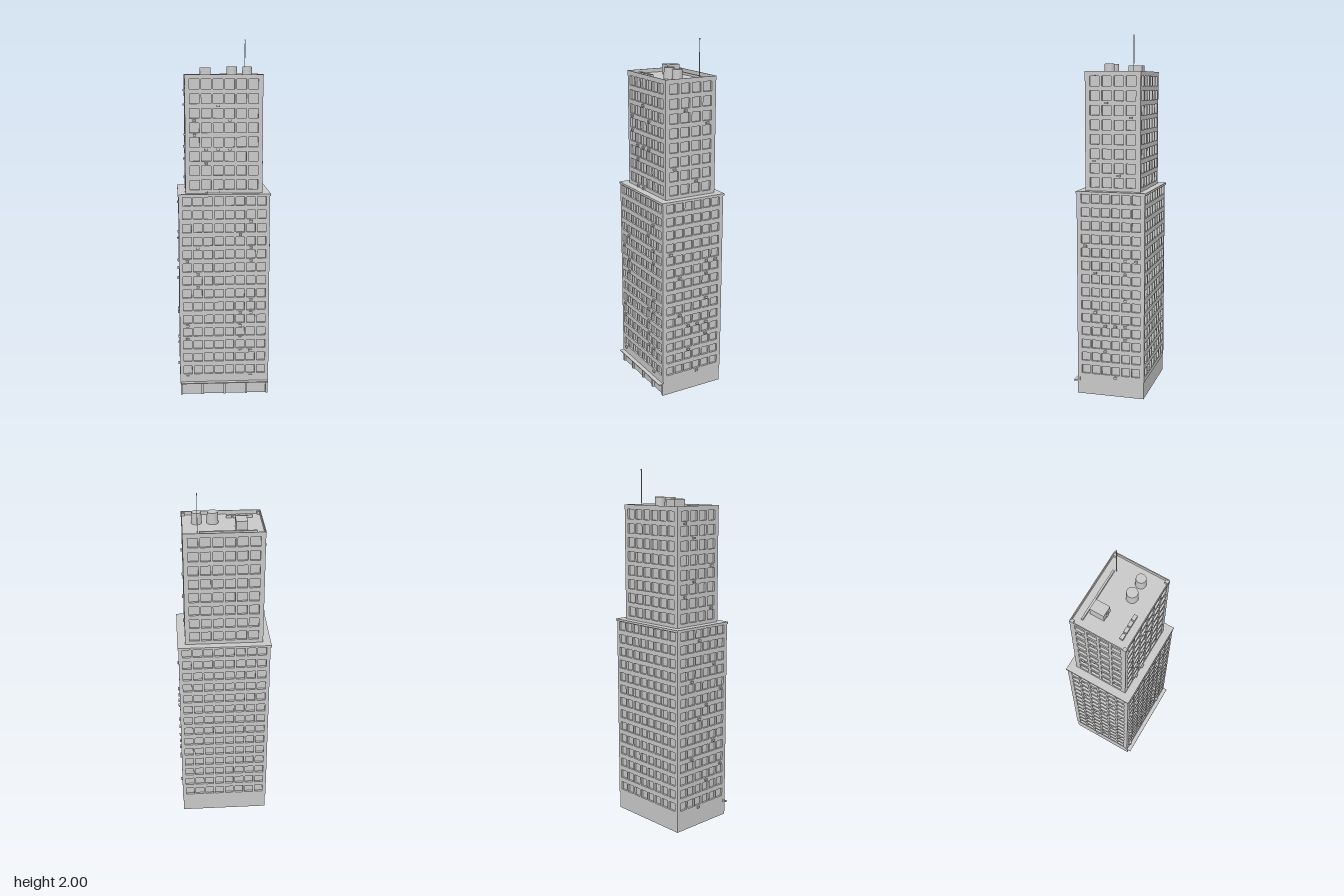
import * as THREE from 'three';

const concrete = new THREE.MeshStandardMaterial({ color: 0xc8c8c8 });
concrete.name = 'concrete grey';

const RECESS = 0.012;

function add(parent, name, geometry, x = 0, y = 0, z = 0) {
  const mesh = new THREE.Mesh(geometry, concrete);
  mesh.name = name;
  mesh.position.set(x, y, z);
  parent.add(mesh);
  return mesh;
}

// Box given by its minimum and maximum on each axis
function box(parent, name, x0, x1, y0, y1, z0, z1) {
  return add(parent, name, new THREE.BoxGeometry(x1 - x0, y1 - y0, z1 - z0),
    (x0 + x1) / 2, (y0 + y1) / 2, (z0 + z1) / 2);
}

function rectangle(Type, x0, x1, y0, y1) {
  const r = new Type();
  r.moveTo(x0, y0);
  r.lineTo(x1, y0);
  r.lineTo(x1, y1);
  r.lineTo(x0, y1);
  r.closePath();
  return r;
}

// Wall slab pierced by a grid of windows; outer face at local z = 0
function wallGeometry(width, y0, t, cols) {
  const shape = rectangle(THREE.Shape, -width / 2, width / 2, y0, t.y1);
  const h = t.window / 2;
  for (let r = 0; r < t.rows; r++) {
    for (let c = 0; c < cols.count; c++) {
      const x = (c - (cols.count - 1) / 2) * cols.step;
      const y = t.topRow - r * t.rowStep;
      shape.holes.push(rectangle(THREE.Path, x - h, x + h, y - h, y + h));
    }
  }
  const g = new THREE.ExtrudeGeometry(shape, { depth: RECESS, bevelEnabled: false });
  return g.translate(0, 0, -RECESS);
}

// Tower block: solid core, four window walls and air conditioners [column, row]
function tower(parent, name, t) {
  const group = new THREE.Group();
  group.name = name;
  parent.add(group);
  const zc = (t.z0 + t.z1) / 2, depth = t.z1 - t.z0;
  box(group, 'core', -t.x + RECESS, t.x - RECESS, t.y0, t.y1, t.z0 + RECESS, t.z1 - RECESS);
  const sides = [
    ['frontWall', 0, t.x * 2, t.frontY0, t.z1 - zc, t.frontCols, t.frontUnits],
    ['leftWall', Math.PI / 2, depth - 2 * RECESS, t.y0, t.x, t.sideCols, t.leftUnits],
    ['backWall', Math.PI, t.x * 2, t.y0, zc - t.z0, t.frontCols, []],
    ['rightWall', -Math.PI / 2, depth - 2 * RECESS, t.y0, t.x, t.sideCols, t.rightUnits],
  ];
  for (const [label, angle, width, y0, out, cols, units] of sides) {
    const side = new THREE.Group();
    side.name = label;
    side.position.z = zc;
    side.rotation.y = angle;
    group.add(side);
    add(side, label + 'Panel', wallGeometry(width, y0, t, cols), 0, 0, out);
    for (const [c, r] of units) {
      add(side, 'airConditioner', new THREE.BoxGeometry(0.018, 0.011, 0.014),
        (c - (cols.count - 1) / 2) * cols.step, t.topRow - (r + 0.5) * t.rowStep, out + 0.001);
    }
  }
}

export function createModel() {
  const model = new THREE.Group();
  model.name = 'officeTower';

  // Ground floor with shopfront pillars and canopy
  box(model, 'groundFloor', -0.249, 0.249, 0, 0.1, -0.199, 0.175);
  for (const x of [-0.243, -0.126, 0.001, 0.125, 0.243]) {
    box(model, 'pillar', x - 0.006, x + 0.006, 0, 0.072, 0.172, 0.186);
  }
  box(model, 'canopy', -0.25, 0.25, 0.071, 0.076, 0.17, 0.208);

  // Lower block
  tower(model, 'lowerTower', {
    x: 0.252, z0: -0.202, z1: 0.183, y0: 0.098, frontY0: 0.076, y1: 1.15,
    rows: 14, topRow: 1.12, rowStep: 0.0749, window: 0.048,
    frontCols: { count: 8, step: 0.0593 }, sideCols: { count: 6, step: 0.0577 },
    frontUnits: [[6, 1], [5, 2], [1, 3], [6, 3], [0, 4], [6, 4], [1, 5], [1, 6], [6, 7], [5, 8],
      [6, 8], [0, 9], [5, 9], [0, 10], [5, 10], [5, 11], [6, 11], [0, 13], [6, 13]],
    leftUnits: [[0, 3], [4, 4], [5, 4], [1, 5], [4, 5], [4, 7], [1, 8], [2, 9], [3, 9], [4, 9],
      [4, 10], [2, 11], [3, 13]],
    rightUnits: [[2, 0], [4, 2], [1, 3], [5, 4], [3, 5], [2, 6], [4, 8], [1, 9], [5, 10], [3, 11], [2, 13]],
  });
  box(model, 'terraceSlab', -0.257, 0.257, 1.148, 1.16, -0.208, 0.187);

  // Upper block
  tower(model, 'upperTower', {
    x: 0.2135, z0: -0.1675, z1: 0.1435, y0: 1.16, frontY0: 1.16, y1: 1.787,
    rows: 8, topRow: 1.756, rowStep: 0.0785, window: 0.053,
    frontCols: { count: 6, step: 0.0647 }, sideCols: { count: 4, step: 0.068 },
    frontUnits: [[2, 1], [0, 2], [3, 2], [0, 3], [1, 4], [2, 4], [3, 4], [1, 5], [1, 7], [2, 7]],
    leftUnits: [[1, 1], [3, 2], [0, 5], [2, 6]],
    rightUnits: [[0, 0], [1, 1], [3, 3], [1, 4], [0, 5], [3, 6]],
  });

  // Roof parapet with corner posts
  const rim = rectangle(THREE.Shape, -0.215, 0.215, -0.145, 0.169);
  rim.holes.push(rectangle(THREE.Path, -0.21, 0.21, -0.14, 0.164));
  const parapet = new THREE.ExtrudeGeometry(rim, { depth: 0.022, bevelEnabled: false });
  add(model, 'parapet', parapet.rotateX(-Math.PI / 2), 0, 1.786, 0);
  for (const sx of [-1, 1]) {
    for (const z of [-0.1565, 0.1325]) {
      box(model, 'cornerPost', sx * 0.2025 - 0.0075, sx * 0.2025 + 0.0075, 1.785, 1.803, z - 0.0075, z + 0.0075);
    }
  }

  // Roof equipment
  box(model, 'stairHouse', -0.125, -0.065, 1.785, 1.843, -0.106, -0.028);
  box(model, 'stairDoor', -0.106, -0.084, 1.787, 1.825, -0.029, -0.026);
  for (const [x, radius] of [[0.05, 0.031], [0.135, 0.028]]) {
    add(model, 'waterTank', new THREE.CylinderGeometry(radius - 0.002, radius, 0.061, 24), x, 1.8175, 0.027);
  }
  for (const x of [-0.152, -0.114, -0.077, -0.041]) {
    box(model, 'roofCooler', x - 0.015, x + 0.015, 1.785, 1.803, 0.082, 0.101);
  }
  box(model, 'duct', -0.172, 0.127, 1.785, 1.8, -0.127, -0.117);

  // Antenna mast
  box(model, 'antenna', 0.134, 0.137, 1.785, 1.998, -0.1115, -0.1085);
  box(model, 'antennaTip', 0.1325, 0.1385, 1.994, 2, -0.113, -0.107);

  return model;
}
